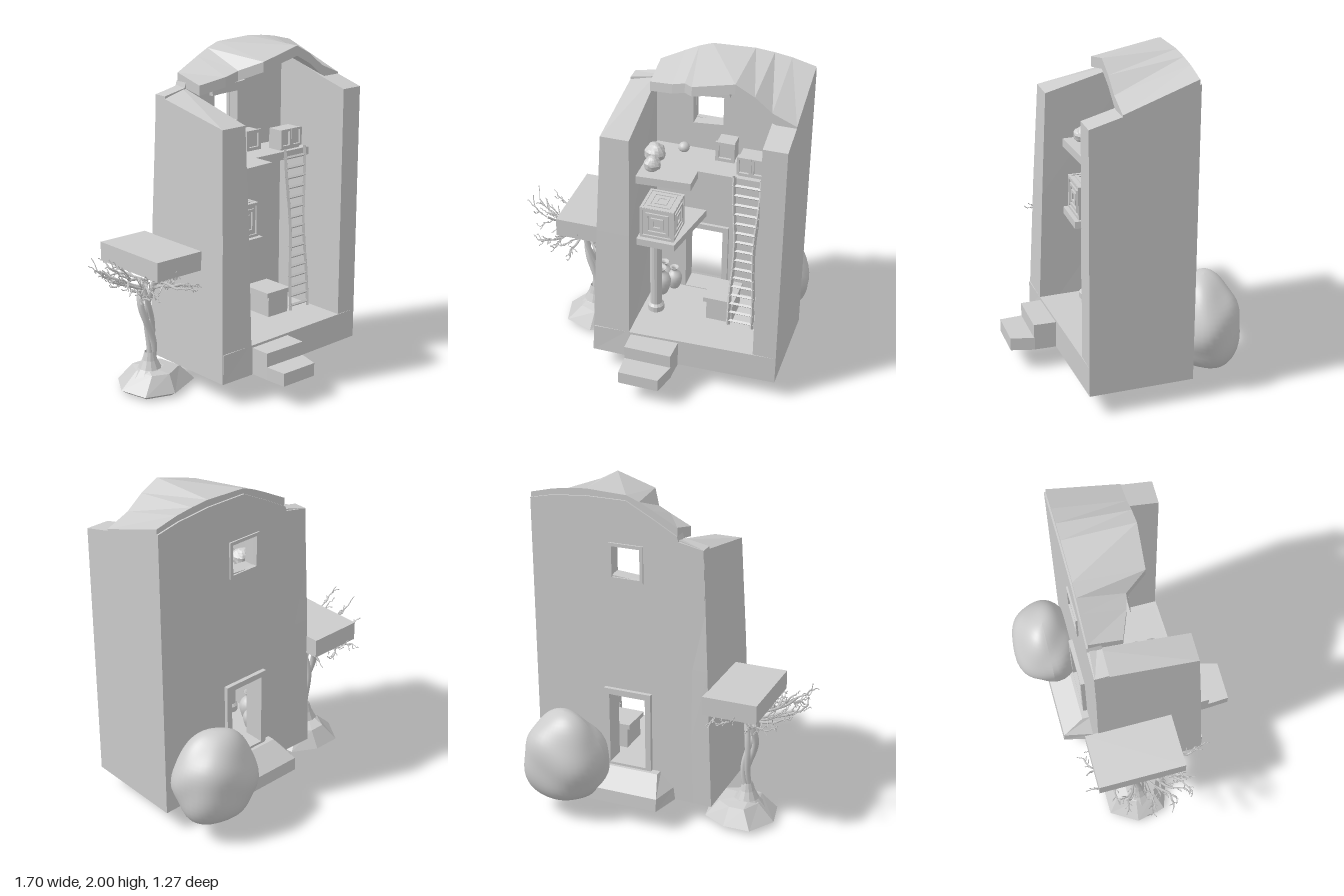
import * as THREE from 'three';

const flat = new THREE.MeshStandardMaterial({ color: 0xcccccc, flatShading: true, side: THREE.DoubleSide });
const smooth = new THREE.MeshStandardMaterial({ color: 0xcccccc });
const V = (x, y, z) => new THREE.Vector3(x, y, z);

let seed = 7;
const rnd = () => { seed = (seed * 16807) % 2147483647; return seed / 2147483647; };
const vary = (a) => (rnd() * 2 - 1) * a;

export function createModel() {
  const root = new THREE.Group();

  const add = (name, geo, mat = flat, parent = root) => {
    const m = new THREE.Mesh(geo, mat);
    m.name = name;
    parent.add(m);
    return m;
  };
  const box = (name, x0, x1, y0, y1, z0, z1, parent = root) => {
    const m = add(name, new THREE.BoxGeometry(x1 - x0, y1 - y0, z1 - z0), flat, parent);
    m.position.set((x0 + x1) / 2, (y0 + y1) / 2, (z0 + z1) / 2);
    return m;
  };
  // Solid skin through matching rings of corners, closed at both ends
  const loft = (rings) => {
    const n = rings[0].length, pos = [], tri = (...p) => p.forEach((q) => pos.push(...q));
    for (let k = 0; k + 1 < rings.length; k++) {
      const a = rings[k], b = rings[k + 1];
      for (let i = 0; i < n; i++) {
        const j = (i + 1) % n;
        tri(a[i], a[j], b[j]);
        tri(a[i], b[j], b[i]);
      }
    }
    const first = rings[0], last = rings[rings.length - 1];
    for (let i = 1; i + 1 < n; i++) {
      tri(first[0], first[i + 1], first[i]);
      tri(last[0], last[i], last[i + 1]);
    }
    const g = new THREE.BufferGeometry();
    g.setAttribute('position', new THREE.Float32BufferAttribute(pos, 3));
    g.computeVertexNormals();
    return g;
  };
  // Upright prism from a ground plan of [x, z] corners
  const prism = (plan, y0, y1) => loft([y0, y1].map((y) => plan.map(([x, z]) => [x, y, z])));
  const poly = (pts, Type = THREE.Shape) => new Type(pts.map(([x, y]) => new THREE.Vector2(x, y)));
  const rect = (x0, x1, y0, y1) => [[x0, y0], [x1, y0], [x1, y1], [x0, y1]];
  const extrude = (shape, depth) => new THREE.ExtrudeGeometry(shape, { depth, bevelEnabled: false });
  const frame = (x0, x1, y0, y1, t, depth) => {
    const s = poly(rect(x0, x1, y0, y1));
    s.holes.push(poly(rect(x0 + t, x1 - t, y0 + t, y1 - t), THREE.Path));
    return extrude(s, depth);
  };
  const tube = (pts, r, seg = 8, sides = 5) => new THREE.TubeGeometry(new THREE.CatmullRomCurve3(pts), seg, r, sides);
  const lump = (rx, ry, rz, bump, phase, detail = 24) => {
    const g = new THREE.SphereGeometry(1, detail, Math.round(detail * 0.7)), p = g.attributes.position;
    for (let i = 0; i < p.count; i++) {
      const x = p.getX(i), y = p.getY(i), z = p.getZ(i);
      const s = 1 + bump * (Math.sin(3 * x + phase + 2 * y) * Math.cos(4 * z + phase) + 0.5 * Math.sin(7 * y + 4 * x * z));
      p.setXYZ(i, x * rx * s, y * ry * s, z * rz * s);
    }
    g.computeVertexNormals();
    return g;
  };

  // Ground floor slab
  add('groundFloor', prism([[-0.32, 0.385], [0.8, 0.345], [0.8, -0.26], [-0.32, -0.27]], 0.13, 0.31));

  // Leaning wall with a sloped broken top
  add('leftWall', loft([
    [[-0.33, 0.13, 0.385], [-0.1, 0.13, 0.385], [-0.1, 0.13, -0.27], [-0.33, 0.13, -0.28]],
    [[-0.3, 1, 0.35], [-0.1, 1, 0.35], [-0.11, 1, -0.27], [-0.3, 1, -0.28]],
    [[-0.275, 1.62, 0.32], [-0.105, 1.62, 0.32], [-0.11, 1.77, -0.26], [-0.27, 1.73, -0.27]],
  ]));
  const side = [[0.345, 0.13], [-0.26, 0.13], [-0.26, 1.92], [0.16, 1.78], [0.345, 1.73]];
  add('rightWall', loft([0.66, 0.8].map((x) => side.map(([z, y]) => [x, y, z]))));

  // Back wall with door and window openings
  const wall = poly([[-0.32, 0.13], [0.8, 0.13], [0.8, 1.91], [0.66, 1.94], [0.45, 1.96], [0.2, 1.96],
    [0.03, 1.87], [-0.11, 1.79], [-0.12, 1.76], [-0.27, 1.73]]);
  wall.holes.push(poly(rect(0.08, 0.32, 0.31, 0.75), THREE.Path));
  wall.holes.push(poly([[0.115, 1.495], [0.295, 1.51], [0.295, 1.69], [0.11, 1.685]], THREE.Path));
  add('backWall', extrude(wall, 0.085)).position.z = -0.275;
  add('doorFrame', frame(0.05, 0.35, 0.28, 0.8, 0.035, 0.13)).position.z = -0.3;
  add('windowFrame', frame(0.095, 0.31, 1.48, 1.705, 0.02, 0.03)).position.z = -0.285;
  const lintel = box('windowLintel', 0.07, 0.335, 1.7, 1.745, -0.2, -0.16);
  lintel.rotation.z = 0.08;

  // Arched roof remnant: x, back height, front height, front z
  const roof = [[-0.11, 1.84, 1.79, -0.07], [0.04, 1.92, 1.83, -0.01], [0.12, 1.96, 1.86, 0.01], [0.2, 1.99, 1.92, 0.14],
    [0.45, 2, 1.99, 0.16], [0.56, 1.99, 1.93, 0.16], [0.66, 1.975, 1.85, 0.16], [0.8, 1.94, 1.79, 0.16]];
  add('roof', loft(roof.map(([x, b, f, z]) =>
    [[x, f - 0.06, z], [x, b - 0.07, -0.265], [x, b, -0.265], [x, f, z]])));

  // Upper floor and half-height platform
  add('upperFloorLeft', prism([[-0.11, 0.22], [0.22, 0.2], [0.22, -0.2], [-0.11, -0.2]], 1.28, 1.33));
  add('upperFloorRight', prism([[0.22, 0.06], [0.66, 0.06], [0.66, -0.2], [0.22, -0.2]], 1.28, 1.33));
  add('platform', prism([[-0.11, 0.22], [0.13, 0.22], [0.205, -0.19], [-0.11, -0.19]], 0.85, 0.895));

  // Entrance steps and rear threshold
  add('frontUpperStep', prism([[-0.088, 0.5], [0.2, 0.5], [0.205, 0.36], [-0.09, 0.36]], 0.13, 0.295));
  add('frontLowerStep', prism([[-0.08, 0.635], [0.165, 0.635], [0.203, 0.495], [-0.088, 0.495]], 0.13, 0.21));
  add('rearStep', loft([
    [[-0.1, 0.13, -0.26], [0.4, 0.13, -0.26], [0.4, 0.13, -0.46], [-0.05, 0.13, -0.46]],
    [[-0.09, 0.21, -0.26], [0.4, 0.21, -0.26], [0.4, 0.21, -0.455], [-0.05, 0.21, -0.455]],
    [[0.0, 0.3, -0.26], [0.4, 0.3, -0.26], [0.4, 0.3, -0.32], [0.0, 0.3, -0.32]],
  ]));

  // Column under the platform
  const column = [[0, 0.31], [0.05, 0.31], [0.05, 0.345], [0.036, 0.36], [0.036, 0.8], [0.05, 0.815], [0.05, 0.85], [0, 0.85]];
  add('column', new THREE.LatheGeometry(column.map(([r, y]) => new THREE.Vector2(r, y)), 14)).position.set(-0.02, 0, 0.1);

  // Carved cube with nested square reliefs
  const cube = new THREE.Group();
  cube.name = 'carvedCube';
  cube.position.set(0.015, 1, 0.09);
  root.add(cube);
  add('cubeCore', new THREE.BoxGeometry(0.19, 0.2, 0.19), flat, cube);
  for (const [rx, ry] of [[0, 0], [0, Math.PI / 2], [0, Math.PI], [0, -Math.PI / 2], [-Math.PI / 2, 0]]) {
    const face = new THREE.Group();
    face.rotation.set(rx, ry, 0);
    cube.add(face);
    for (const h of [0.103, 0.07, 0.038]) add('cubeRelief', frame(-h, h, -h, h, 0.016, 0.013), flat, face).position.z = 0.092;
  }

  // Storage jars
  const jar = [[0, 0], [0.035, 0], [0.06, 0.07], [0.055, 0.12], [0.025, 0.155], [0.022, 0.17], [0.036, 0.19], [0.02, 0.185]];
  for (const [x, z, s] of [[-0.04, -0.06, 1], [0.02, -0.14, 0.8], [-0.05, -0.15, 0.9]]) {
    const m = add('jar', new THREE.LatheGeometry(new THREE.SplineCurve(jar.map(([r, y]) => new THREE.Vector2(r, y))).getPoints(18), 16),
      new THREE.MeshStandardMaterial({ color: 0xcccccc, side: THREE.DoubleSide }));
    m.position.set(x, 0.31, z);
    m.scale.setScalar(s);
  }

  // Chest, crates and loose finds on the upper floor
  box('chestBody', 0.3, 0.46, 0.31, 0.44, -0.09, 0.1);
  box('chestLid', 0.28, 0.47, 0.44, 0.47, -0.1, 0.11);
  box('smallCrate', 0.285, 0.39, 1.33, 1.45, -0.19, -0.1);
  add('smallCrateRim', frame(0.28, 0.395, 1.33, 1.455, 0.02, 0.015)).position.z = -0.1;
  box('largeCrate', 0.45, 0.61, 1.33, 1.455, -0.07, 0.03);
  for (const x of [0.443, 0.53]) add('largeCratePanel', frame(x, x + 0.085, 1.345, 1.46, 0.014, 0.015)).position.z = 0.03;
  for (const [x, y, z, r, p] of [[-0.05, 1.385, 0.02, 0.062, 1], [-0.035, 1.37, 0.12, 0.05, 3], [0.08, 1.362, -0.12, 0.034, 0]]) {
    add('looseStone', lump(r, r * 0.9, r, p ? 0.1 : 0, p, 14), p ? flat : smooth).position.set(x, y, z);
  }

  // Ladder with crooked rails
  const railX = (t, s) => 0.523 + s * (0.062 + 0.055 * (t - 0.45) ** 2 + 0.006 * Math.sin(t * 9));
  const ladderAt = (t, s) => V(railX(t, s), 0.33 + t * 1.02, 0.14 - t * 0.06);
  for (const s of [-1, 1]) {
    const pts = [];
    for (let i = 0; i <= 8; i++) pts.push(ladderAt(i / 8, s));
    add('ladderRail', tube(pts, 0.012, 24, 4));
  }
  for (let i = 0; i < 16; i++) {
    const t = 0.03 + i * 0.061;
    add('ladderRung', tube([ladderAt(t, -1.1), ladderAt(t, 1.1)], 0.01, 1, 4));
  }

  // Boulder pressed against the rear wall
  const boulder = lump(0.265, 0.29, 0.215, 0.045, 1.2, 40), bp = boulder.attributes.position;
  for (let i = 0; i < bp.count; i++) {
    const y = bp.getY(i), k = 1 - 0.28 * y;
    bp.setXYZ(i, bp.getX(i) * k, y, Math.min(bp.getZ(i) * k, 0.17));
  }
  boulder.computeVertexNormals();
  add('boulder', boulder, smooth).position.set(0.555, 0.37, -0.425);

  // Side balcony slab
  box('balcony', -0.63, -0.3, 0.77, 0.885, -0.36, 0.17);

  // Rock mound under the tree
  const mound = [[0.24, 0.1], [0.2, -0.12], [0.05, -0.2], [-0.12, -0.2], [-0.22, -0.04], [-0.18, 0.14], [0, 0.2]];
  const ring = (sx, sz, y, ox) => mound.map(([x, z]) => [-0.46 + ox + x * sx, y, -0.09 + z * sz]);
  add('treeMound', loft([ring(0.8, 0.8, 0, 0), ring(0.97, 1, 0.025, 0), ring(0.55, 0.68, 0.125, 0.01), ring(0.3, 0.35, 0.14, -0.02)]));

  // Twisted trunk
  const foot = [[0.12, 0.08], [0.07, 0.14], [0.045, 0.19], [0.03, 0.24]];
  add('trunkFoot', new THREE.LatheGeometry(foot.map(([r, y]) => new THREE.Vector2(r, y)), 12), flat).position.set(-0.49, 0, -0.09);
  for (let k = 0; k < 3; k++) {
    const pts = [];
    for (let i = 0; i <= 7; i++) {
      const t = i / 7, a = k * 2.09 + t * 5, r = 0.014 + 0.03 * t * t;
      pts.push(V(-0.495 + r * Math.cos(a) + 0.02 * Math.sin(t * 6), 0.15 + t * 0.53, -0.09 + r * Math.sin(a)));
    }
    add('trunkStrand', tube(pts, 0.02 - k * 0.002, 18, 7), smooth);
  }

  // Bare branches: each grows sideways, bends and forks into twigs
  const grow = (start, angle, len, lift, r, depth) => {
    const pts = [start];
    let a = angle;
    for (let i = 1; i <= 4; i++) {
      a += vary(0.35);
      const p = pts[i - 1], l = len / 4;
      pts.push(V(p.x + Math.cos(a) * l, p.y + lift * l + vary(0.014), p.z + Math.sin(a) * l));
    }
    add('branch', tube(pts, r, 8, 4), smooth);
    if (depth > 0) for (let i = 1; i <= 4; i++) grow(pts[i], a + vary(0.9), len * 0.42, lift + vary(0.5), r * 0.6, depth - 1);
  };
  const limbs = [[3.0, 0.22, 0.4], [3.3, 0.24, 0.45], [2.8, 0.2, 0.2], [3.6, 0.2, 0.25], [4.1, 0.22, 0.05], [4.6, 0.24, 0.2],
    [5.2, 0.2, 0.1], [2.3, 0.23, 0.1], [1.7, 0.25, 0], [1.4, 0.22, 0.15], [0.6, 0.1, 0.2], [5.9, 0.1, 0.1]];
  for (const [a, len, lift] of limbs) grow(V(-0.5 + 0.04 * Math.cos(a), 0.68 + vary(0.03), -0.07 + 0.04 * Math.sin(a)), a, len, lift, 0.008, 2);

  return root;
}
